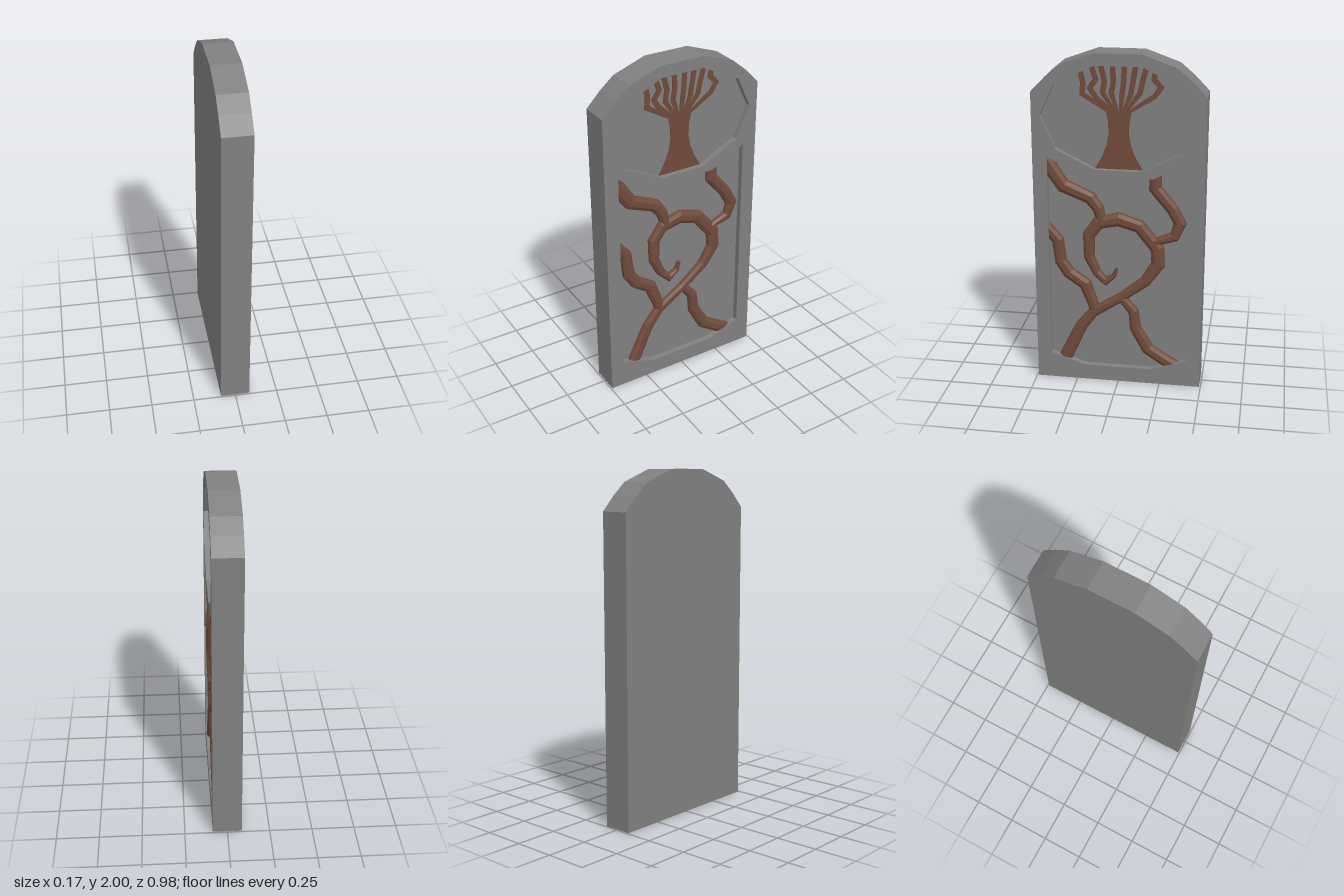
import * as THREE from 'three';

const HALF = 0.0855;          // half the slab thickness
const RECESS = 0.035;         // depth of the carved panels
const FLOOR = HALF - RECESS;
const TREE_HEIGHT = 0.005;
const VINE_HEIGHT = 0.03;

const stone = new THREE.MeshStandardMaterial({ color: 0x808080, flatShading: true });
const wood = new THREE.MeshStandardMaterial({ color: 0x704a3a, flatShading: true });

const vecs = (pts) => pts.map(([x, y]) => new THREE.Vector2(x, y));
// Closes a left-hand half outline with its mirror image
const mirrored = (half) => vecs([...half, ...half.map(([x, y]) => [-x, y]).reverse()]);

function extrude(name, shape, z, depth, material) {
  const geometry = new THREE.ExtrudeGeometry(shape, { depth, bevelEnabled: false });
  geometry.translate(0, 0, z);
  const mesh = new THREE.Mesh(geometry, material);
  mesh.name = name;
  return mesh;
}

// Sweeps a raised profile along a mitred path of [x, y, halfWidth] points
function relief(name, path, profile, height) {
  const pts = vecs(path);
  const rings = path.map(([x, y, w], i) => {
    const before = pts[i].clone().sub(pts[Math.max(i - 1, 0)]).normalize();
    const after = pts[Math.min(i + 1, pts.length - 1)].clone().sub(pts[i]).normalize();
    const t = before.clone().add(after).normalize();
    const along = i > 0 ? before : after;
    const half = w / Math.max(t.dot(along), 0.75);
    return profile.map(([s, h]) => [x - t.y * s * half, y + t.x * s * half, FLOOR + h * height]);
  });
  const pos = [];
  const tri = (a, b, c) => pos.push(...a, ...b, ...c);
  const n = profile.length;
  for (let i = 0; i < rings.length - 1; i++) {
    const [p, q] = [rings[i], rings[i + 1]];
    for (let j = 0; j < n - 1; j++) {
      tri(p[j], p[j + 1], q[j + 1]);
      tri(p[j], q[j + 1], q[j]);
    }
  }
  // End caps
  const [first, last] = [rings[0], rings[rings.length - 1]];
  for (let j = 1; j < n - 1; j++) {
    tri(first[0], first[j + 1], first[j]);
    tri(last[0], last[j], last[j + 1]);
  }
  const geometry = new THREE.BufferGeometry();
  geometry.setAttribute('position', new THREE.Float32BufferAttribute(pos, 3));
  geometry.computeVertexNormals();
  const mesh = new THREE.Mesh(geometry, wood);
  mesh.name = name;
  return mesh;
}

const ROUNDED = [[1, 0], [0.9, 0.6], [0.4, 1], [-0.4, 1], [-0.9, 0.6], [-1, 0]];
const FLAT = [[1, 0], [1, 1], [-1, 1], [-1, 0]];

const VINES = {
  curlingVine: [
    [-0.36, 0.06, 0.04], [-0.315, 0.15, 0.04], [-0.225, 0.345, 0.036], [-0.15, 0.44, 0.032],
    [0.02, 0.55, 0.028], [0.16, 0.66, 0.034], [0.232, 0.77, 0.04], [0.225, 0.87, 0.04],
    [0.12, 1.0, 0.04], [0, 1.037, 0.042], [-0.117, 1.01, 0.038], [-0.175, 0.93, 0.036],
    [-0.175, 0.8, 0.032], [-0.13, 0.7, 0.026], [-0.075, 0.645, 0.022], [-0.025, 0.685, 0.014],
    [-0.01, 0.735, 0.007],
  ],
  upperLeftVine: [
    [-0.45, 1.42, 0.045], [-0.4, 1.34, 0.045], [-0.32, 1.225, 0.042], [-0.165, 1.16, 0.038],
    [-0.12, 1.1, 0.034], [-0.1, 1.03, 0.03],
  ],
  lowerLeftVine: [
    [-0.45, 1.0, 0.034], [-0.36, 0.89, 0.036], [-0.345, 0.76, 0.036], [-0.295, 0.685, 0.038],
    [-0.2, 0.62, 0.038], [-0.155, 0.5, 0.034], [-0.14, 0.44, 0.03],
  ],
  lowerRightVine: [
    [0.02, 0.545, 0.026], [0.088, 0.46, 0.031], [0.1, 0.355, 0.035], [0.175, 0.22, 0.038],
    [0.28, 0.15, 0.038], [0.37, 0.1, 0.038],
  ],
  upperRightVine: [
    [0.21, 1.36, 0.034], [0.21, 1.235, 0.036], [0.31, 1.115, 0.036], [0.355, 1.03, 0.035],
    [0.325, 0.95, 0.03], [0.2, 0.905, 0.02],
  ],
};

// Branches from crown to tip
const BRANCHES = [
  [[-0.05, 1.64], [-0.064, 1.675], [-0.205, 1.765], [-0.2, 1.83], [-0.222, 1.93]],
  [[-0.038, 1.64], [-0.047, 1.68], [-0.13, 1.75], [-0.162, 1.8], [-0.128, 1.85], [-0.155, 1.93]],
  [[-0.024, 1.64], [-0.029, 1.68], [-0.09, 1.775], [-0.08, 1.84], [-0.105, 1.95]],
  [[-0.008, 1.64], [-0.01, 1.68], [-0.042, 1.775], [-0.03, 1.84], [-0.035, 1.95]],
  [[0.008, 1.64], [0.01, 1.68], [0.018, 1.765], [0.026, 1.82], [0.033, 1.95]],
  [[0.024, 1.64], [0.029, 1.68], [0.068, 1.775], [0.08, 1.85], [0.097, 1.95]],
  [[0.038, 1.64], [0.047, 1.68], [0.118, 1.78], [0.133, 1.85], [0.16, 1.95]],
  [[0.05, 1.64], [0.064, 1.675], [0.2, 1.765], [0.235, 1.815], [0.195, 1.86], [0.21, 1.94]],
];

export function createModel() {
  const model = new THREE.Group();
  model.name = 'carvedSlab';

  // Arched slab: solid back plate plus a front frame with two panel openings
  const outline = mirrored([[-0.133, 2], [-0.326, 1.931], [-0.41, 1.86], [-0.492, 1.775], [-0.492, 0]]);
  const roundPanel = mirrored([[-0.133, 1.931], [-0.36, 1.82], [-0.445, 1.638], [-0.36, 1.45], [-0.133, 1.338]]);
  const tallPanel = mirrored([[-0.2, 1.297], [-0.408, 1.403], [-0.408, 0.164], [-0.2, 0.095]]);
  const frame = new THREE.Shape(outline);
  frame.holes.push(new THREE.Path(roundPanel), new THREE.Path(tallPanel));
  model.add(extrude('backPlate', new THREE.Shape(outline), -HALF, FLOOR + HALF, stone));
  model.add(extrude('frontFrame', frame, FLOOR, RECESS, stone));

  // Tree in the upper panel
  const tree = new THREE.Group();
  tree.name = 'tree';
  const trunk = mirrored([
    [-0.072, 1.67], [-0.06, 1.61], [-0.057, 1.54], [-0.07, 1.475], [-0.095, 1.41], [-0.137, 1.335],
  ]);
  tree.add(extrude('trunk', new THREE.Shape(trunk), FLOOR, TREE_HEIGHT, wood));
  BRANCHES.forEach((path, i) => {
    const widened = path.map(([x, y], k) => [x, y, k < 2 ? 0.009 : 0.015]);
    tree.add(relief(`branch${i + 1}`, widened, FLAT, TREE_HEIGHT));
  });
  model.add(tree);

  // Vines in the lower panel, their outer ends running into the frame
  const vines = new THREE.Group();
  vines.name = 'vines';
  for (const [name, path] of Object.entries(VINES)) vines.add(relief(name, path, ROUNDED, VINE_HEIGHT));
  model.add(vines);

  // Turn the carved face towards +x
  model.rotation.y = Math.PI / 2;
  const root = new THREE.Group();
  root.name = 'stele';
  root.add(model);
  return root;
}
